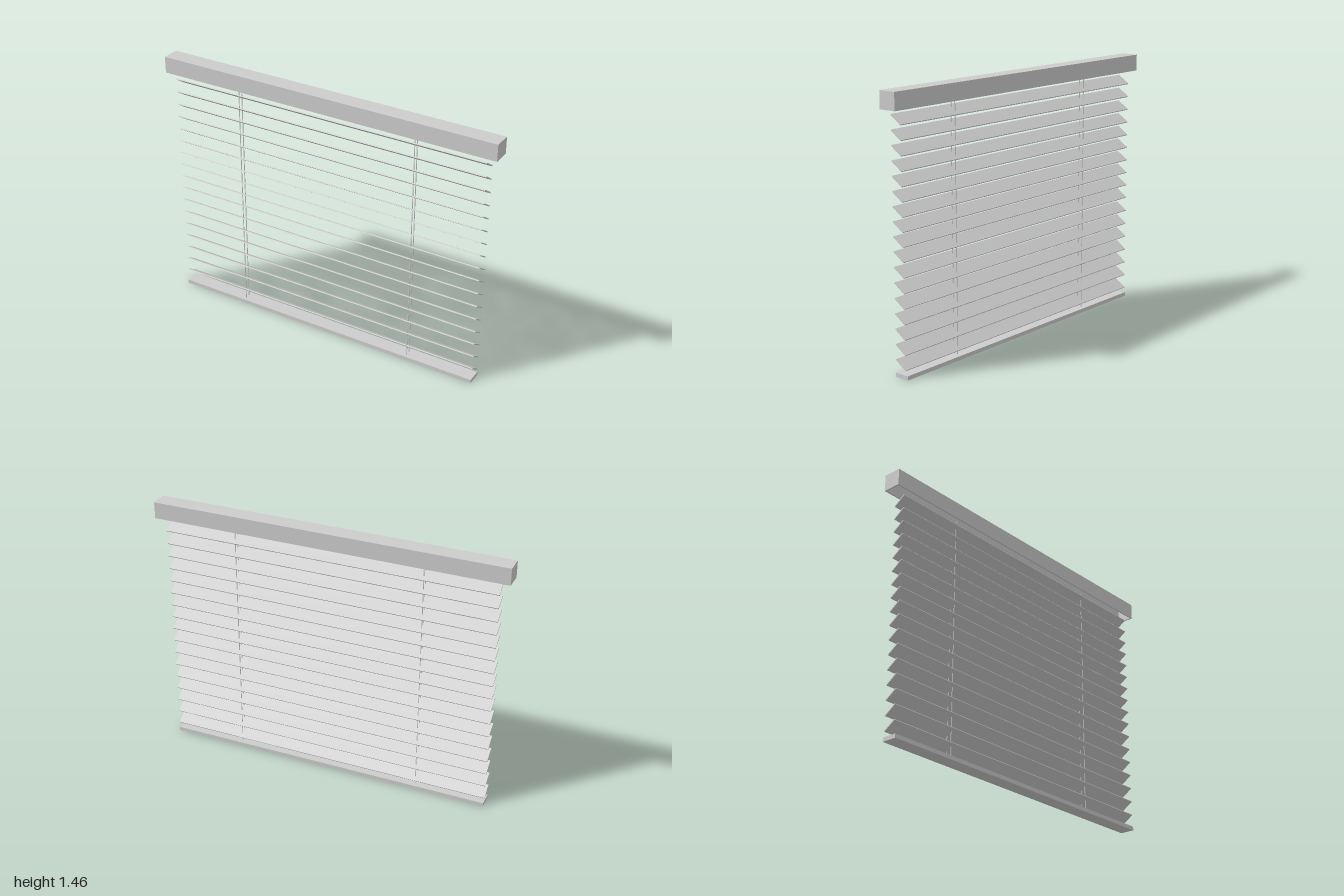
import * as THREE from 'three';

const material = new THREE.MeshStandardMaterial({ color: 0xcccccc, flatShading: true });

function addMesh(parent, name, geometry, x, y, z) {
  const mesh = new THREE.Mesh(geometry, material);
  mesh.name = name;
  mesh.position.set(x, y, z);
  parent.add(mesh);
  return mesh;
}

export function createModel() {
  const model = new THREE.Group();
  model.name = 'windowBlind';

  // Head rail: a thin-walled box, open underneath
  const headRail = new THREE.Group();
  headRail.name = 'headRail';
  model.add(headRail);
  const bottom = 1.37, top = 1.463, wall = 0.007, halfDepth = 0.05;
  const railHeight = top - bottom, railMiddle = (top + bottom) / 2;
  addMesh(headRail, 'railTop', new THREE.BoxGeometry(2, wall, halfDepth * 2), 0, top - wall / 2, 0);
  for (const side of [-1, 1]) {
    addMesh(headRail, side > 0 ? 'railFront' : 'railBack',
      new THREE.BoxGeometry(2, railHeight, wall), 0, railMiddle, side * (halfDepth - wall / 2));
    addMesh(headRail, side > 0 ? 'railLeftEnd' : 'railRightEnd',
      new THREE.BoxGeometry(wall, railHeight, halfDepth * 2), side * (1 - wall / 2), railMiddle, 0);
  }

  // Tilted slats, spaced a little wider in the lower part
  const slats = new THREE.Group();
  slats.name = 'slats';
  model.add(slats);
  const slatGeometry = new THREE.BoxGeometry(1.886, 0.006, 0.081);
  for (let i = 0; i < 17; i++) {
    const y = 1.318 - 0.076 * Math.min(i, 9) - 0.0802 * Math.max(i - 9, 0);
    addMesh(slats, 'slat', slatGeometry, 0, y, 0.002).rotation.x = -0.59;
  }

  // Bottom rail
  addMesh(model, 'bottomRail', new THREE.BoxGeometry(1.88, 0.022, 0.084), 0, 0.011, 0.001);

  // Ladder cords: a front and back cord on each side
  const cordGeometry = new THREE.CylinderGeometry(0.0025, 0.0025, 1.36, 8);
  for (const x of [-0.536, 0.536]) {
    for (const z of [-0.01, 0.017]) addMesh(model, 'cord', cordGeometry, x, 0.695, z);
  }
  return model;
}
